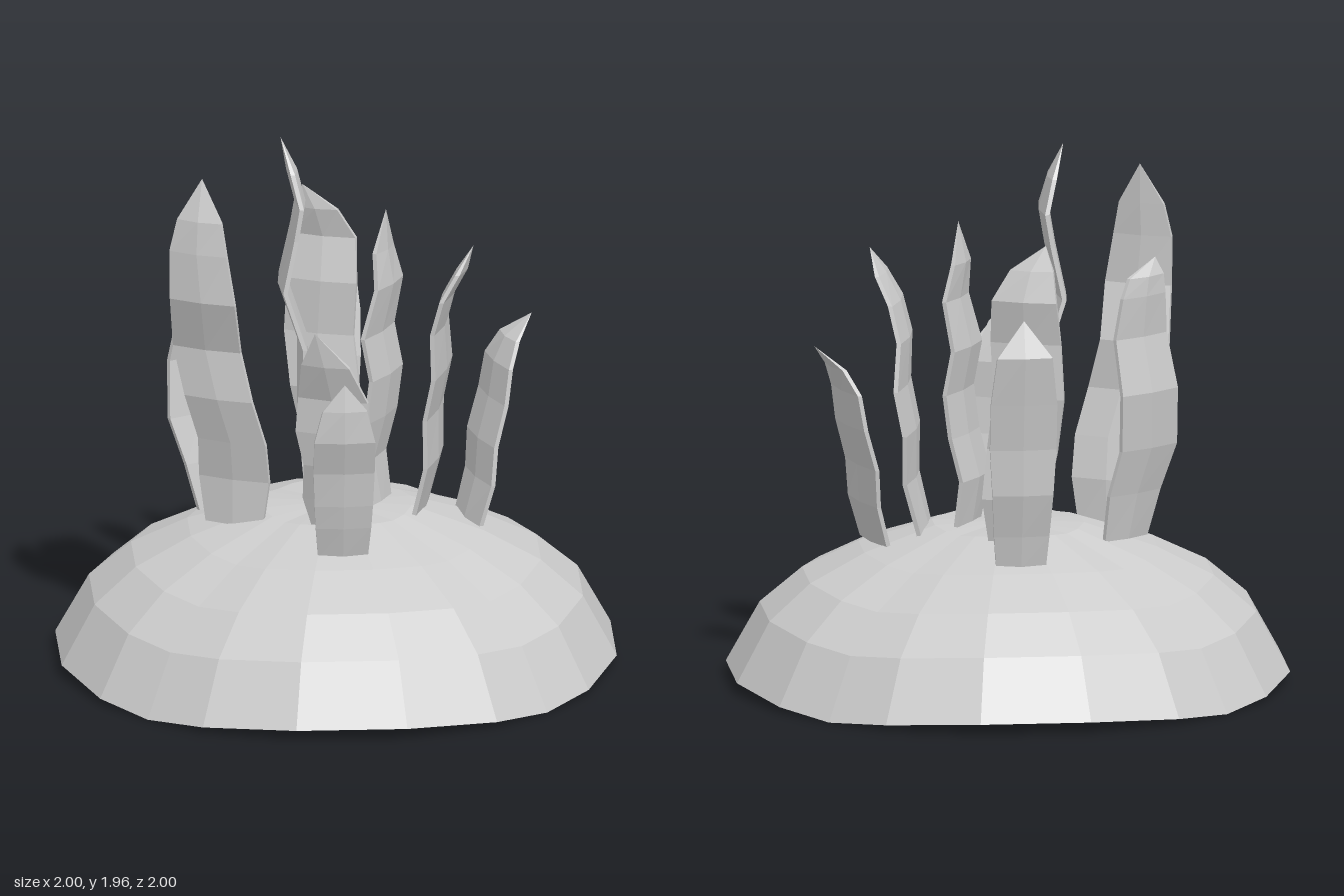
import * as THREE from 'three';

const material = new THREE.MeshStandardMaterial({ color: 0xcccccc, flatShading: true });

// Skin a stack of equal-length rings, closing both ends with a fan.
function loft(rings, bottom, top) {
  const pos = [];
  const n = rings[0].length;
  const tri = (...pts) => pts.forEach((p) => pos.push(...p));
  for (let j = 0; j < n; j++) {
    const k = (j + 1) % n;
    for (let i = 0; i < rings.length - 1; i++) {
      const lo = rings[i], hi = rings[i + 1];
      tri(lo[j], hi[j], lo[k]);
      tri(lo[k], hi[j], hi[k]);
    }
    const last = rings[rings.length - 1];
    tri(bottom, rings[0][j], rings[0][k]);
    tri(top, last[k], last[j]);
  }
  const geo = new THREE.BufferGeometry();
  geo.setAttribute('position', new THREE.Float32BufferAttribute(pos, 3));
  geo.computeVertexNormals();
  return geo;
}

function addMesh(group, name, geo) {
  const mesh = new THREE.Mesh(geo, material);
  mesh.name = name;
  group.add(mesh);
}

// Rounded-square mound: one quarter of the outline [x, z, drop], turned four times.
function moundGeometry() {
  const quarter = [[1, -0.2, 0], [1, 0.2, 0], [0.88, 0.53, 0.02], [0.72, 0.72, 0.04], [0.53, 0.88, 0.02]];
  const outline = [];
  for (let q = 0; q < 4; q++) {
    for (const [x, z, d] of quarter) {
      outline.push([[x, z, d], [-z, x, d], [-x, -z, d], [z, -x, d]][q]);
    }
  }
  const levels = [[1, 0.04], [0.88, 0.26], [0.73, 0.39], [0.53, 0.49], [0.27, 0.575]];
  const rings = levels.map(([s, y]) => outline.map(([x, z, d]) => [x * s, y - d * s, z * s]));
  return loft(rings, [0, 0.02, 0], [0, 0.58, 0]);
}

// Wavy blade: spine rows are [x, y, z, half width]; the last row is the tip.
function bladeGeometry(yawDegrees, spine) {
  const a = THREE.MathUtils.degToRad(yawDegrees);
  const c = Math.cos(a), s = Math.sin(a);
  const section = [[1, -0.008], [1, 0.008], [0, 0.02], [-1, 0.008], [-1, -0.008], [0, -0.02]];
  const rings = spine.slice(0, -1).map(([x, y, z, w]) =>
    section.map(([u, v]) => [x + u * w * c - v * s, y, z + u * w * s + v * c]));
  return loft(rings, spine[0].slice(0, 3), spine[spine.length - 1].slice(0, 3));
}

const blades = {
  outerBackBlade: [0, [
    [0, 0.5, -0.46, 0.09], [0, 0.62, -0.485, 0.1], [0, 0.78, -0.53, 0.11], [0, 0.95, -0.54, 0.12],
    [0, 1.12, -0.57, 0.12], [0, 1.3, -0.605, 0.1], [0, 1.43, -0.575, 0]]],
  innerBackBlade: [20, [
    [0, 0.54, -0.31, 0.1], [0.01, 0.72, -0.34, 0.12], [-0.02, 0.9, -0.32, 0.13], [-0.04, 1.1, -0.36, 0.13],
    [-0.03, 1.3, -0.35, 0.13], [-0.02, 1.46, -0.385, 0.12], [-0.05, 1.57, -0.365, 0.08], [-0.1, 1.66, -0.365, 0]]],
  outerFrontBlade: [0, [
    [0, 0.51, 0.43, 0.09], [0, 0.63, 0.465, 0.1], [0, 0.72, 0.485, 0.105], [0, 0.85, 0.505, 0.11],
    [0, 0.98, 0.55, 0.11], [0, 1.1, 0.555, 0.08], [0, 1.2, 0.56, 0]]],
  innerFrontBlade: [20, [
    [0, 0.55, 0.27, 0.1], [-0.02, 0.68, 0.3, 0.12], [-0.01, 0.82, 0.35, 0.13], [-0.03, 0.95, 0.36, 0.14],
    [-0.03, 1.08, 0.36, 0.13], [-0.06, 1.22, 0.4, 0.09], [-0.1, 1.35, 0.42, 0]]],
  frontRightBlade: [25, [
    [-0.37, 0.53, 0.09, 0.11], [-0.37, 0.7, 0.09, 0.135], [-0.38, 0.85, 0.12, 0.13], [-0.43, 1.02, 0.14, 0.13],
    [-0.47, 1.2, 0.11, 0.13], [-0.49, 1.4, 0.18, 0.125], [-0.505, 1.58, 0.17, 0.11], [-0.5, 1.7, 0.16, 0.085],
    [-0.49, 1.85, 0.13, 0]]],
  backRightBlade: [-35, [
    [-0.41, 0.53, -0.13, 0.1], [-0.44, 0.7, -0.15, 0.12], [-0.49, 0.87, -0.17, 0.13], [-0.49, 1.08, -0.2, 0.13],
    [-0.46, 1.28, -0.17, 0.12], [-0.47, 1.43, -0.18, 0.1], [-0.48, 1.5, -0.17, 0.08], [-0.52, 1.56, -0.12, 0]]],
  centreBlade: [90, [
    [-0.09, 0.55, 0, 0.13], [-0.06, 0.75, 0, 0.15], [-0.12, 0.95, 0, 0.16], [-0.12, 1.2, 0, 0.16],
    [-0.19, 1.41, 0, 0.14], [-0.15, 1.6, 0, 0.125], [-0.13, 1.72, 0, 0.12], [-0.16, 1.84, 0, 0.08],
    [-0.2, 1.96, 0, 0]]],
  innerLeftBlade: [-60, [
    [0.15, 0.55, 0, 0.1], [0.12, 0.74, 0, 0.12], [0.16, 0.9, 0, 0.12], [0.18, 1.06, 0, 0.12],
    [0.15, 1.22, 0, 0.12], [0.19, 1.4, 0, 0.1], [0.17, 1.53, 0, 0.07], [0.18, 1.68, 0, 0]]],
  middleLeftBlade: [-75, [
    [0.3, 0.54, 0.01, 0.12], [0.35, 0.74, 0.01, 0.14], [0.35, 0.92, 0, 0.15], [0.38, 1.08, 0.02, 0.15],
    [0.37, 1.25, 0.04, 0.13], [0.4, 1.38, 0.07, 0.12], [0.45, 1.48, 0.09, 0.09], [0.49, 1.57, 0.1, 0]]],
  outerLeftBlade: [72, [
    [0.48, 0.51, 0, 0.12], [0.52, 0.66, -0.01, 0.13], [0.53, 0.8, -0.03, 0.135], [0.57, 0.95, -0.05, 0.13],
    [0.59, 1.08, -0.06, 0.12], [0.63, 1.17, -0.07, 0.08], [0.71, 1.25, -0.085, 0]]],
};

export function createModel() {
  const model = new THREE.Group();
  model.name = 'bladedMound';
  addMesh(model, 'mound', moundGeometry());
  for (const [name, [yaw, spine]] of Object.entries(blades)) {
    addMesh(model, name, bladeGeometry(yaw, spine));
  }
  return model;
}
